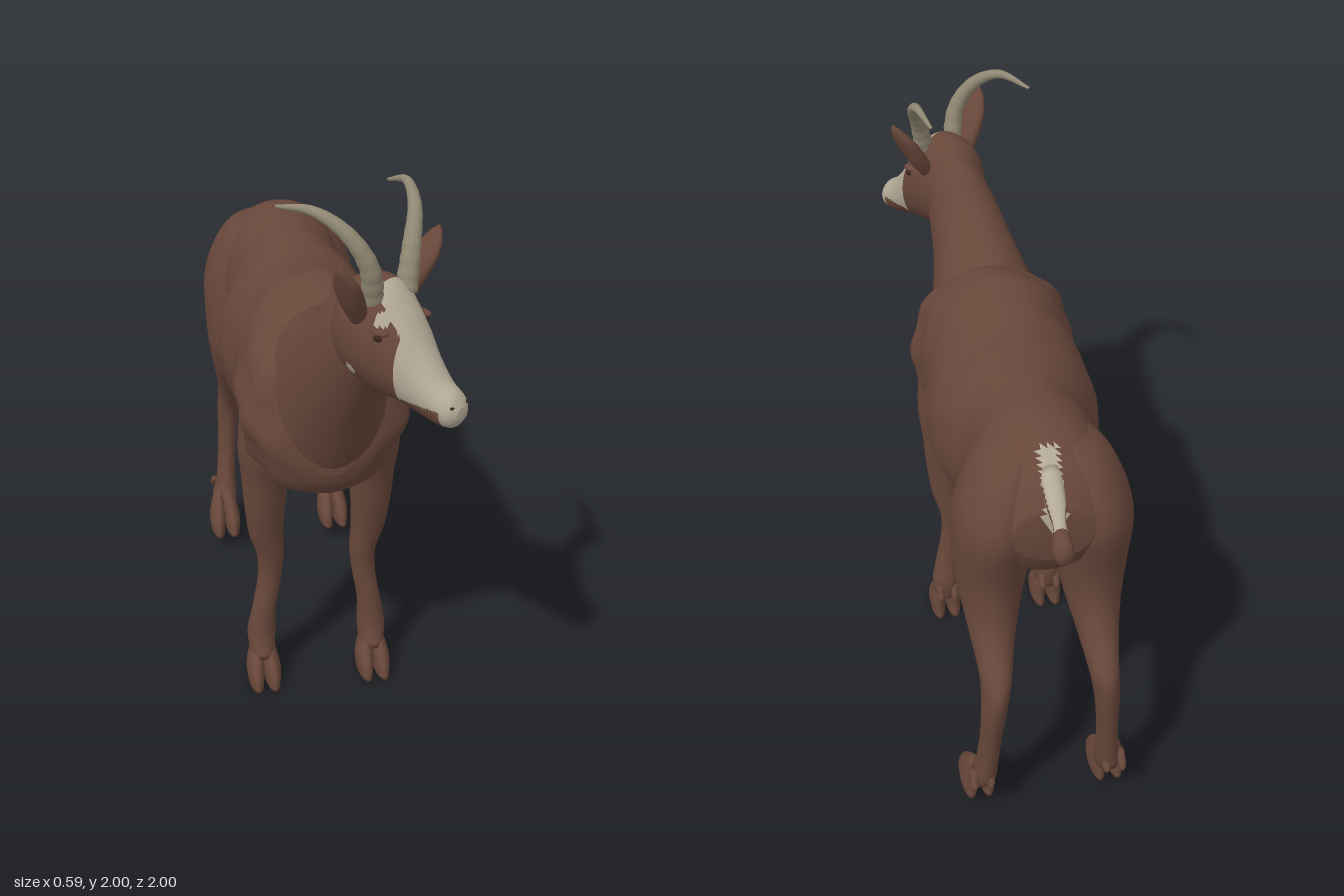
import * as THREE from 'three';

const mat = (name, color) => {
  const m = new THREE.MeshStandardMaterial({ color });
  m.name = name;
  return m;
};

// Lofts elliptical rings through sections [x, y, z, rx, rb]; rx runs along X, rb along the vector up.
// bump(p) scales a ring point's radius, pick(p, centre) chooses a material index for each face.
function loft(sections, up, { seg = 28, sub = 5, bump = () => 1, pick = null } = {}) {
  const centres = new THREE.CatmullRomCurve3(sections.map(s => new THREE.Vector3(s[0], s[1], s[2])), false, 'catmullrom', 0.5);
  const radii = new THREE.CatmullRomCurve3(sections.map(s => new THREE.Vector3(s[3], s[4], 0)), false, 'catmullrom', 0.5);
  const A = new THREE.Vector3(1, 0, 0), B = new THREE.Vector3(...up).normalize();
  const rows = (sections.length - 1) * sub, pos = [], mids = [], faces = [[], []];
  for (let i = 0; i <= rows; i++) {
    const c = centres.getPoint(i / rows), r = radii.getPoint(i / rows);
    mids.push(c);
    for (let j = 0; j < seg; j++) {
      const a = j / seg * Math.PI * 2;
      const off = A.clone().multiplyScalar(Math.sin(a) * r.x).addScaledVector(B, Math.cos(a) * r.y);
      off.multiplyScalar(bump(c.clone().add(off)));
      pos.push(c.x + off.x, c.y + off.y, c.z + off.z);
    }
  }
  const first = pos.length / 3, last = first + 1;
  pos.push(...mids[0].toArray(), ...mids[rows].toArray());
  const flip = A.clone().cross(B).dot(mids[rows].clone().sub(mids[0])) < 0;
  const at = k => new THREE.Vector3().fromArray(pos, k * 3);
  const tri = (a, b, c, row) => {
    const p = at(a).add(at(b)).add(at(c)).divideScalar(3);
    faces[pick ? pick(p, mids[row]) : 0].push(...(flip ? [a, c, b] : [a, b, c]));
  };
  for (let j = 0; j < seg; j++) {
    const k = (j + 1) % seg;
    for (let i = 0; i < rows; i++) {
      const a = i * seg + j, b = i * seg + k;
      tri(a, a + seg, b, i);
      tri(b, a + seg, b + seg, i);
    }
    tri(first, j, k, 0);
    tri(last, rows * seg + k, rows * seg + j, rows);
  }
  const g = new THREE.BufferGeometry();
  g.setAttribute('position', new THREE.Float32BufferAttribute(pos, 3));
  g.setIndex([...faces[0], ...faces[1]]);
  if (pick) {
    g.addGroup(0, faces[0].length, 0);
    g.addGroup(faces[0].length, faces[1].length, 1);
  }
  g.computeVertexNormals();
  return g;
}

// Tapered, lightly ringed horn
function hornGeometry(points, radius) {
  const curve = new THREE.CatmullRomCurve3(points.map(p => new THREE.Vector3(...p)));
  const n = 48, seg = 14, g = new THREE.TubeGeometry(curve, n, radius, seg);
  const p = g.attributes.position, v = new THREE.Vector3();
  for (let i = 0; i <= n; i++) {
    const t = i / n, c = curve.getPointAt(t);
    const k = (1 - 0.85 * Math.pow(t, 1.4)) * (1 + 0.04 * Math.sin(t * 70) * (1 - t));
    for (let j = 0; j <= seg; j++) {
      const id = i * (seg + 1) + j;
      v.fromBufferAttribute(p, id).sub(c).multiplyScalar(k).add(c);
      p.setXYZ(id, v.x, v.y, v.z);
    }
  }
  g.computeVertexNormals();
  return g;
}

export function createModel() {
  const brown = mat('brown coat', 0x68473a);
  const cream = mat('cream blaze', 0xb3a996);
  const horn = mat('horn', 0x8f8772);
  const dark = mat('dark brown', 0x36241d);
  const model = new THREE.Group();
  const add = (name, geo, material, parent = model) => {
    const m = new THREE.Mesh(geo, material);
    m.name = name;
    parent.add(m);
    return m;
  };
  const Y = [0, 1, 0], Z = [0, 0, 1];

  // Torso: z, top, bottom, half width; shaggy towards the chest
  const torso = [
    [0.49, 1.12, 0.98, 0.07], [0.465, 1.28, 0.92, 0.17], [0.4, 1.41, 0.86, 0.25], [0.28, 1.5, 0.82, 0.28],
    [0.15, 1.54, 0.83, 0.265], [0.05, 1.52, 0.83, 0.265], [-0.1, 1.49, 0.83, 0.285], [-0.25, 1.49, 0.85, 0.27],
    [-0.4, 1.5, 0.89, 0.215], [-0.55, 1.51, 0.97, 0.22], [-0.68, 1.49, 1.0, 0.22], [-0.78, 1.42, 1.05, 0.19],
    [-0.845, 1.33, 1.15, 0.12],
  ].map(([z, t, b, w]) => [0, (t + b) / 2, z, w, (t - b) / 2]);
  const shaggy = p => {
    const side = Math.min(1, Math.abs(p.x) / 0.15);
    const amount = 0.006 + 0.022 * THREE.MathUtils.smoothstep(p.z, 0.1, 0.35);
    return 1 + side * amount * (Math.sin(p.y * 34 + p.z * 19) + Math.sin(p.z * 41 - p.y * 15 + p.x * 9));
  };
  add('torso', loft(torso, Y, {
    seg: 64, sub: 6, bump: shaggy,
    pick: (p, c) => (p.z < -0.71 && Math.abs(p.x) < 0.03 && p.y > c.y + 0.05 ? 1 : 0),
  }), [brown, cream]);
  add('bellyTuft', loft([[0, 0.96, -0.35, 0.05, 0.08], [0, 0.9, -0.375, 0.04, 0.06], [0, 0.86, -0.4, 0.012, 0.015]], Z), brown);

  add('neck', loft([
    [0, 1.17, 0.25, 0.21, 0.3], [0, 1.22, 0.37, 0.2, 0.285], [0.02, 1.4, 0.53, 0.145, 0.205],
    [0.055, 1.56, 0.65, 0.11, 0.17], [0.08, 1.61, 0.73, 0.08, 0.13],
  ], [0, 0.95, -0.3]), brown);

  // Tail with a pale streak and a tufted end
  add('tail', loft([
    [0, 1.41, -0.76, 0.035, 0.035], [0, 1.37, -0.85, 0.03, 0.028], [0, 1.33, -0.91, 0.02, 0.018],
    [0, 1.3, -0.95, 0.03, 0.035], [0, 1.285, -0.985, 0.028, 0.038], [0, 1.285, -0.998, 0.008, 0.012],
  ], Y, { pick: (p, c) => (p.z > -0.93 && p.y > c.y + 0.004 ? 1 : 0) }), [brown, cream]);

  // Legs, cloven hooves and dewclaws on both sides
  const foreleg = [
    [0.12, 1.36, 0.24, 0.03, 0.05], [0.15, 1.24, 0.245, 0.09, 0.12], [0.165, 1.0, 0.23, 0.11, 0.13],
    [0.18, 0.85, 0.21, 0.085, 0.1], [0.185, 0.72, 0.205, 0.07, 0.075], [0.18, 0.6, 0.195, 0.06, 0.055],
    [0.165, 0.5, 0.185, 0.047, 0.046], [0.17, 0.4, 0.185, 0.042, 0.037], [0.19, 0.28, 0.185, 0.042, 0.043],
    [0.2, 0.18, 0.18, 0.05, 0.053], [0.2, 0.1, 0.2, 0.045, 0.06],
  ];
  const hindleg = [
    [0.06, 1.47, -0.63, 0.03, 0.06], [0.115, 1.4, -0.64, 0.09, 0.14], [0.15, 1.22, -0.66, 0.128, 0.185],
    [0.16, 1.0, -0.63, 0.12, 0.165], [0.165, 0.86, -0.66, 0.095, 0.135], [0.17, 0.75, -0.735, 0.07, 0.105],
    [0.175, 0.65, -0.82, 0.05, 0.093], [0.185, 0.55, -0.852, 0.042, 0.062], [0.195, 0.4, -0.84, 0.036, 0.048],
    [0.205, 0.25, -0.815, 0.038, 0.052], [0.215, 0.18, -0.79, 0.048, 0.065], [0.22, 0.13, -0.76, 0.045, 0.065],
  ];
  const leg = (name, sections, side, hx, hy, hz, heel) => {
    const g = new THREE.Group();
    g.name = name;
    model.add(g);
    add('limb', loft(sections.map(([x, ...r]) => [side * x, ...r]), Z), brown, g);
    for (const d of [-1, 1]) {
      const x = side * hx + d * 0.027;
      add('toe', loft([
        [x - d * 0.01, hy + 0.15, hz - 0.045, 0.014, 0.025], [x - d * 0.002, hy + 0.1, hz - 0.02, 0.026, 0.055],
        [x + d * 0.003, hy + 0.05, hz, 0.031, 0.078], [x + d * 0.003, hy, hz + 0.004, 0.027, 0.093],
      ], Z, { seg: 18 }), brown, g);
      add('dewclaw', loft([
        [x, hy + 0.17, heel + 0.03, 0.012, 0.02], [x, hy + 0.13, heel + 0.002, 0.014, 0.017], [x, hy + 0.11, heel - 0.008, 0.004, 0.005],
      ], Z, { seg: 10, sub: 3 }), brown, g);
    }
  };
  for (const s of [1, -1]) {
    const word = s > 0 ? 'left' : 'right';
    leg(word + 'Foreleg', foreleg, s, 0.2, 0, 0.225, 0.125);
    leg(word + 'Hindleg', hindleg, s, 0.225, 0.06, -0.72, -0.858);
  }

  // Head, turned to its left, with a pale blaze, muzzle and two flecks
  const head = new THREE.Group();
  head.name = 'head';
  head.position.set(0.075, 0, 0.72);
  head.rotation.y = 0.6435;
  model.add(head);
  const skull = [
    [-0.12, 1.68, 1.52, 0.05], [-0.08, 1.74, 1.47, 0.095], [-0.02, 1.775, 1.44, 0.117], [0.06, 1.77, 1.42, 0.12],
    [0.13, 1.7, 1.415, 0.1], [0.2, 1.6, 1.4, 0.074], [0.26, 1.53, 1.387, 0.06], [0.31, 1.495, 1.392, 0.05],
    [0.333, 1.46, 1.42, 0.024],
  ].map(([z, t, b, w]) => [0, (t + b) / 2, z, w, (t - b) / 2]);
  const near = (p, y, z) => p.x < -0.05 && Math.hypot(p.y - y, p.z - z) < 0.02;
  add('skull', loft(skull, Y, {
    seg: 72, sub: 10,
    pick: (p, c) => (p.z > 0.05 && p.y > c.y && Math.abs(p.x) < 0.064) || (p.z > 0.15 && p.y > 1.45)
      || p.z > 0.29 || near(p, 1.685, 0.1) || near(p, 1.5, -0.01) ? 1 : 0,
  }), [brown, cream], head);
  const ball = new THREE.SphereGeometry(1, 16, 12);
  const blob = (name, material, x, y, z, rx, ry, rz) => {
    const m = add(name, ball, material, head);
    m.position.set(x, y, z);
    m.scale.set(rx, ry, rz);
  };
  for (const s of [1, -1]) {
    blob('brow', brown, s * 0.095, 1.652, 0.1, 0.017, 0.011, 0.03);
    blob('eye', dark, s * 0.104, 1.635, 0.1, 0.008, 0.009, 0.016);
    blob('nostril', dark, s * 0.03, 1.465, 0.318, 0.008, 0.005, 0.007);
    // Upright leaf-shaped ear
    add('ear', loft([
      [s * 0.09, 1.66, 0.02, 0.025, 0.025], [s * 0.13, 1.73, 0.03, 0.033, 0.042], [s * 0.17, 1.8, 0.042, 0.028, 0.046],
      [s * 0.2, 1.85, 0.05, 0.016, 0.026], [s * 0.213, 1.875, 0.055, 0.003, 0.004],
    ], Z, { seg: 18 }), brown, head);
  }

  // Backswept horns
  add('leftHorn', hornGeometry([[0.16, 1.72, 0.74], [0.182, 1.84, 0.7], [0.207, 1.935, 0.62], [0.203, 1.978, 0.53], [0.17, 1.95, 0.435]], 0.033), horn);
  add('rightHorn', hornGeometry([[0.055, 1.72, 0.79], [0.033, 1.84, 0.815], [-0.03, 1.935, 0.8], [-0.11, 1.983, 0.75], [-0.2, 1.968, 0.65]], 0.033), horn);
  return model;
}
